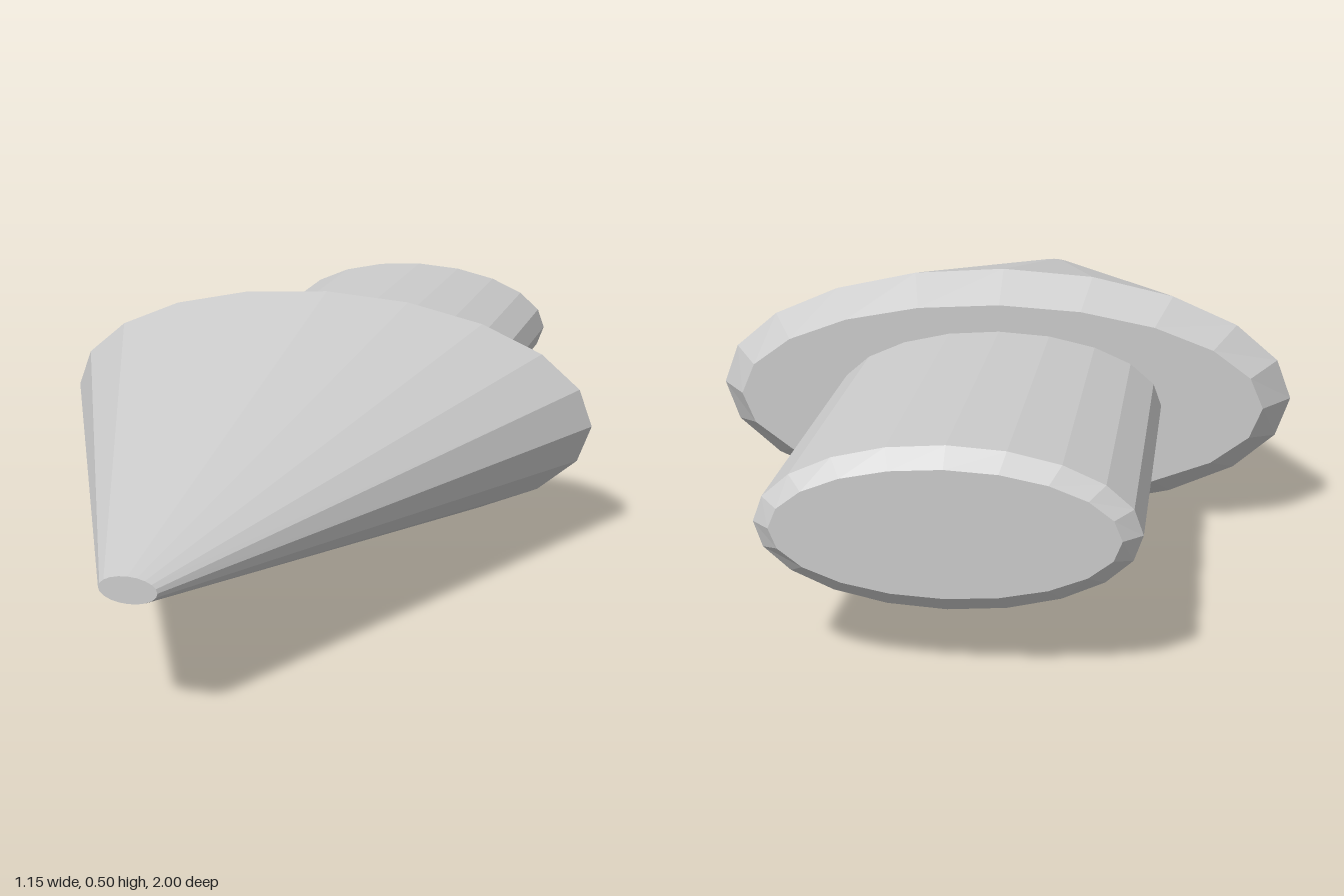
import * as THREE from 'three';

const SIDES = 20;
const CENTER_Y = 0.25;

// Lofts elliptical sections [z, radiusX, radiusY], listed from back to front, with capped ends.
function loft(name, sections, material) {
  const positions = [];
  const point = ([z, rx, ry], i) => {
    const a = (i / SIDES) * Math.PI * 2;
    return [rx * Math.cos(a), CENTER_Y + ry * Math.sin(a), z];
  };
  const first = sections[0];
  const last = sections[sections.length - 1];
  for (let i = 0; i < SIDES; i++) {
    for (let s = 0; s < sections.length - 1; s++) {
      const a = point(sections[s], i);
      const b = point(sections[s], i + 1);
      const c = point(sections[s + 1], i + 1);
      const d = point(sections[s + 1], i);
      positions.push(...a, ...b, ...c, ...a, ...c, ...d);
    }
    positions.push(0, CENTER_Y, first[0], ...point(first, i + 1), ...point(first, i));
    positions.push(0, CENTER_Y, last[0], ...point(last, i), ...point(last, i + 1));
  }
  const geometry = new THREE.BufferGeometry();
  geometry.setAttribute('position', new THREE.Float32BufferAttribute(positions, 3));
  geometry.computeVertexNormals();
  const mesh = new THREE.Mesh(geometry, material);
  mesh.name = name;
  return mesh;
}

export function createModel() {
  const group = new THREE.Group();
  group.name = 'flattenedDart';
  const material = new THREE.MeshStandardMaterial({ color: 0xcccccc, flatShading: true });

  // Cone with a bevelled back rim and a small blunt tip
  group.add(loft('coneHead', [
    [-0.225, 0.518, 0.194],
    [-0.143, 0.573, 0.249],
    [1, 0.052, 0.024],
  ], material));

  // Oval shaft with a bevelled back end, its front seated inside the head
  group.add(loft('shaft', [
    [-1, 0.288, 0.11],
    [-0.967, 0.32, 0.141],
    [-0.2, 0.32, 0.141],
  ], material));

  return group;
}
